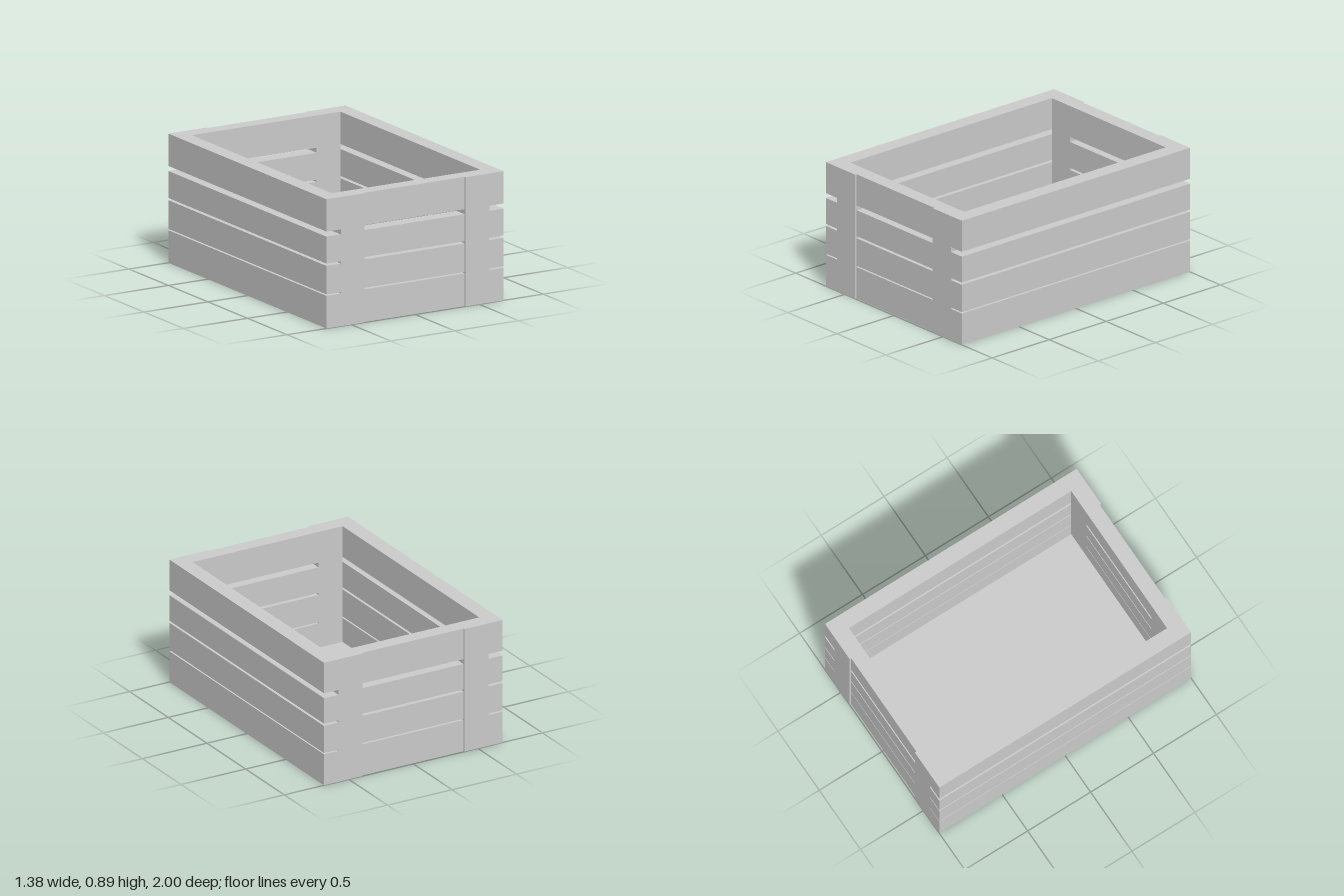
import * as THREE from 'three';

export function createModel() {
  const crate = new THREE.Group();
  crate.name = 'crate';
  const wood = new THREE.MeshStandardMaterial({ color: 0xcccccc, flatShading: true });

  // Box given by its lower and upper limits on each axis
  function board(name, [x0, x1], [y0, y1], [z0, z1]) {
    const mesh = new THREE.Mesh(new THREE.BoxGeometry(x1 - x0, y1 - y0, z1 - z0), wood);
    mesh.position.set((x0 + x1) / 2, (y0 + y1) / 2, (z0 + z1) / 2);
    mesh.name = name;
    crate.add(mesh);
  }
  // Range on the positive or negative side of an axis
  const side = (s, a, b) => (s > 0 ? [a, b] : [-b, -a]);

  const height = 0.888;
  const outerX = 0.692, innerX = 0.58, postX = 0.395;
  const outerZ = 1, innerZ = 0.883, slatZ = 0.988;
  const rows = [[0, 0.224], [0.234, 0.43], [0.446, 0.631], [0.666, height]];

  // Floor panel
  board('floor', [-innerX, innerX], [0, 0.05], [-innerZ, innerZ]);

  for (const s of [1, -1]) {
    const sideName = s > 0 ? 'left' : 'right';
    const endName = s > 0 ? 'front' : 'back';
    rows.forEach((row, i) => {
      // Long planks run the full depth; end slats sit slightly recessed between posts
      board(`${sideName}Plank${i + 1}`, side(s, innerX, outerX), row, [-outerZ, outerZ]);
      board(`${endName}Slat${i + 1}`, [-postX, postX], row, side(s, innerZ, slatZ));
    });
    // Corner posts
    for (const t of [1, -1]) {
      board(`${endName}${t > 0 ? 'Left' : 'Right'}Post`,
        side(t, postX, innerX), [0, height], side(s, innerZ, outerZ));
    }
  }
  return crate;
}
